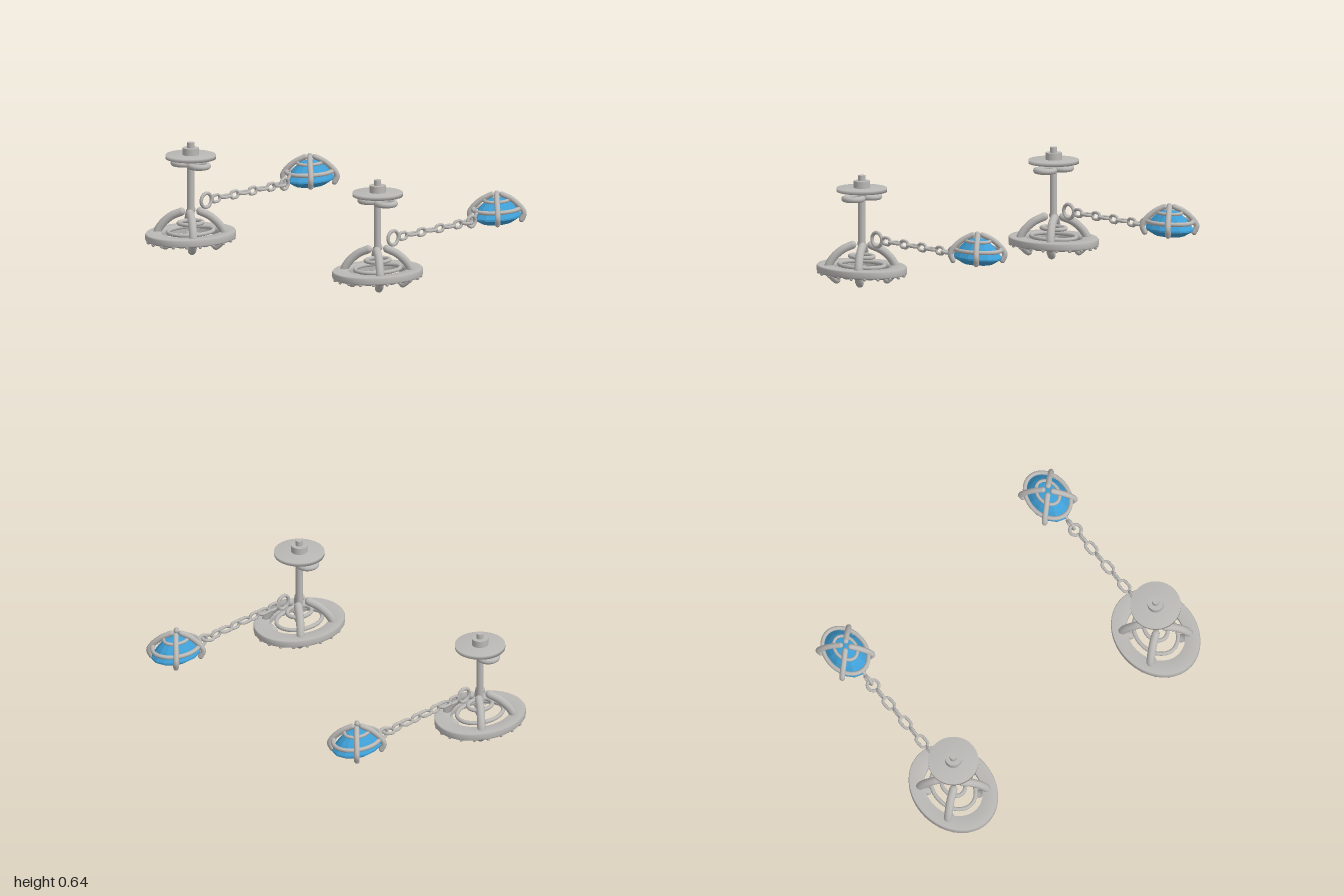
import * as THREE from 'three';

const metal = new THREE.MeshStandardMaterial({ color: 0xbab8b5 });
metal.name = 'silver metal';
const blue = new THREE.MeshStandardMaterial({ color: 0x3f9fd6, flatShading: true });
blue.name = 'blue stone';
const pale = new THREE.MeshStandardMaterial({ color: 0xb4b4b4, flatShading: true });
pale.name = 'pale stone';

const V = (x, y, z) => new THREE.Vector3(x, y, z);

function add(parent, name, geo, mat, x = 0, y = 0, z = 0) {
  const m = new THREE.Mesh(geo, mat);
  m.name = name;
  m.position.set(x, y, z);
  parent.add(m);
  return m;
}

const lathe = (pts, seg = 48) =>
  new THREE.LatheGeometry(pts.map(p => new THREE.Vector2(p[0], p[1])), seg);

// Oval wire ring lying flat, with half-widths measured to the wire centre
function ovalRing(a, b, r) {
  const pts = [];
  for (let i = 0; i < 32; i++) {
    const t = i / 32 * Math.PI * 2;
    pts.push(V(a * Math.cos(t), 0, b * Math.sin(t)));
  }
  return new THREE.TubeGeometry(new THREE.CatmullRomCurve3(pts, true), 64, r, 10, true);
}

// Stadium-shaped chain link, long axis along z, lying flat
function linkGeometry(halfLength, halfWidth, r) {
  const w = halfWidth - r, s = halfLength - halfWidth;
  const pts = [];
  for (let i = 0; i <= 12; i++) {
    const t = i % 13 / 12 * Math.PI;
    pts.push(V(w * Math.cos(t), 0, s + w * Math.sin(t)));
  }
  for (let i = 0; i <= 12; i++) {
    const t = Math.PI + i / 12 * Math.PI;
    pts.push(V(w * Math.cos(t), 0, -s + w * Math.sin(t)));
  }
  return new THREE.TubeGeometry(new THREE.CatmullRomCurve3(pts, true), 48, r, 8, true);
}

// Four mirrored claws; path is a list of [x, y, z] in one quadrant
function claws(parent, path, r) {
  for (const sx of [1, -1]) for (const sz of [1, -1]) {
    const pts = path.map(p => V(p[0] * sx, p[1], p[2] * sz));
    const curve = new THREE.CatmullRomCurve3(pts);
    add(parent, 'claw', new THREE.TubeGeometry(curve, 24, r, 12), metal);
    for (const p of [pts[0], pts[pts.length - 1]])
      add(parent, 'clawTip', new THREE.SphereGeometry(r, 12, 8), metal, p.x, p.y, p.z);
  }
}

// Halo with its stones, claw basket, post and clutch
function createStud() {
  const g = new THREE.Group();
  g.name = 'stud';
  const A = 0.238, B = 0.291, a = 0.155, b = 0.195;

  // oval halo plate, built as a closed band between two ellipses
  const halo = lathe([[0.66, 0.066], [0.98, 0.066], [1, 0.074], [1, 0.102], [0.98, 0.11],
    [0.66, 0.11], [0.655, 0.088], [0.66, 0.066]], 64);
  halo.scale(A, 1, B);
  add(g, 'haloPlate', halo, metal);

  // stones and beads set into the underside
  const n = 20;
  const stone = new THREE.CylinderGeometry(0.033, 0.018, 0.01, 8);
  const bead = new THREE.SphereGeometry(0.011, 8, 6);
  for (let i = 0; i < n; i++) {
    const t = i / n * Math.PI * 2, u = (i + 0.5) / n * Math.PI * 2;
    add(g, 'haloStone', stone, pale,
      (A + a) / 2 * Math.cos(t), 0.062, (B + b) / 2 * Math.sin(t));
    for (const k of [0.012, 0.07])
      add(g, 'haloBead', bead, metal, (A - k) * Math.cos(u), 0.064, (B - k) * Math.sin(u));
  }

  // claw basket
  claws(g, [[0.035, 0.228, 0.043], [0.085, 0.2, 0.078], [0.13, 0.145, 0.115],
    [0.147, 0.095, 0.13], [0.132, 0.05, 0.116], [0.108, 0.024, 0.1]], 0.024);
  add(g, 'basketRing', ovalRing(0.115, 0.15, 0.012), metal, 0, 0.112, 0);
  add(g, 'upperBasketRing', ovalRing(0.062, 0.078, 0.012), metal, 0, 0.162, 0);

  // post, backing disc and two-loop clutch
  add(g, 'post', new THREE.CylinderGeometry(0.021, 0.021, 0.44, 20), metal, 0, 0.42, 0);
  add(g, 'postFoot', new THREE.SphereGeometry(0.024, 16, 10), metal, 0, 0.2, 0);
  add(g, 'backingDisc', lathe([[0, 0.545], [0.147, 0.545], [0.147, 0.567], [0, 0.567]]), metal);
  add(g, 'backingHub', new THREE.CylinderGeometry(0.048, 0.048, 0.042, 24), metal, 0, 0.587, 0);
  for (const s of [1, -1]) {
    const loop = new THREE.TorusGeometry(0.053, 0.0175, 12, 32);
    loop.rotateX(Math.PI / 2);
    add(g, 'clutchLoop', loop, metal, s * 0.067, 0.508, 0);
  }
  return g;
}

// Chain of alternating links between the stud and the drop
function createChain() {
  const g = new THREE.Group();
  g.name = 'chain';
  const y = 0.275;
  const upright = new THREE.TorusGeometry(0.042, 0.0105, 10, 32);
  upright.rotateY(Math.PI / 2);
  add(g, 'endRing', upright, metal, 0, y, 0.307);
  const tall = linkGeometry(0.04, 0.029, 0.009);
  tall.rotateZ(Math.PI / 2);
  const flat = linkGeometry(0.049, 0.032, 0.009);
  for (const z of [0.225, 0.072, -0.08, -0.234]) add(g, 'uprightLink', tall, metal, 0, y, z);
  for (const z of [0.148, -0.004, -0.157]) add(g, 'flatLink', flat, metal, 0, y, z);
  const ring = new THREE.TorusGeometry(0.034, 0.0095, 10, 28);
  ring.rotateX(Math.PI / 2);
  add(g, 'flatRing', ring, metal, 0, y, -0.302);
  const hook = new THREE.TorusGeometry(0.032, 0.0095, 10, 28);
  hook.rotateY(Math.PI / 2);
  add(g, 'hookRing', hook, metal, 0, y, -0.346);
  const stem = new THREE.CatmullRomCurve3(
    [V(0, 0.292, -0.374), V(0, 0.312, -0.386), V(0, 0.32, -0.404)]);
  add(g, 'hookStem', new THREE.TubeGeometry(stem, 8, 0.0095, 8), metal);
  return g;
}

// Faceted oval stone in a claw cage; its table faces down
function createDrop() {
  const g = new THREE.Group();
  g.name = 'drop';
  const gem = lathe([[0, 0.237], [0.62, 0.237], [1, 0.27], [1, 0.28], [0.74, 0.33],
    [0.42, 0.376], [0, 0.388]], 14);
  gem.scale(0.118, 1, 0.164);
  add(g, 'stone', gem, blue);
  add(g, 'cageRing', ovalRing(0.118, 0.156, 0.0125), metal, 0, 0.32, 0);
  add(g, 'upperCageRing', ovalRing(0.06, 0.081, 0.01), metal, 0, 0.37, 0);
  claws(g, [[0.02, 0.405, 0.022], [0.06, 0.378, 0.06], [0.1, 0.33, 0.096],
    [0.114, 0.292, 0.11], [0.104, 0.255, 0.1]], 0.0165);
  return g;
}

export function createModel() {
  const model = new THREE.Group();
  model.name = 'earringPair';
  for (const [name, x] of [['leftEarring', 0.762], ['rightEarring', -0.762]]) {
    const earring = new THREE.Group();
    earring.name = name;
    const stud = createStud(), drop = createDrop();
    stud.position.z = 0.437;
    drop.position.z = -0.557;
    earring.add(stud, createChain(), drop);
    earring.position.x = x;
    model.add(earring);
  }
  return model;
}
